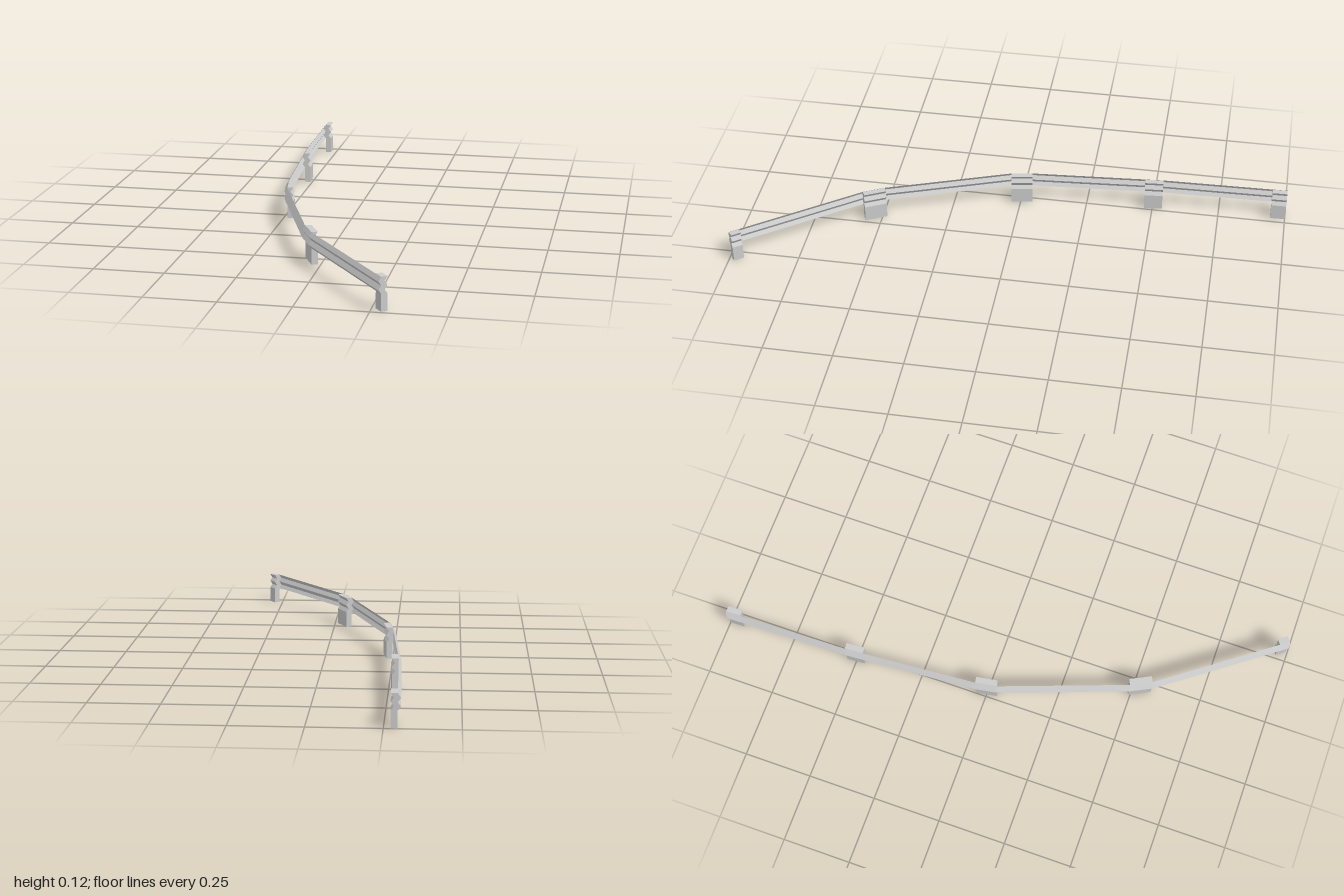
import * as THREE from 'three';

// Zigzag of the W-shaped beam: [outward offset, height]
const ZIGZAG = [[0, 0.06], [0.01, 0.073], [0, 0.088], [0.01, 0.102], [0, 0.117]];
const POST_DEPTH = 0.022;

// Plan of each post's front edge: [x0, z0, x1, z1]; the rail runs through all of them
const POSTS = [
  [-0.295, -1, -0.2935, -0.945],
  [-0.284, -0.535, -0.279, -0.467],
  [-0.248, -0.041, -0.235, 0.038],
  [-0.068, 0.493, -0.03, 0.568],
  [0.263, 0.962, 0.286, 0.993],
];

const material = new THREE.MeshStandardMaterial({
  color: 0xcccccc, flatShading: true, side: THREE.DoubleSide,
});

// Thin folded sheet swept along the plan path with mitred bends
function railGeometry() {
  const path = POSTS.flatMap(([x0, z0, x1, z1]) => [new THREE.Vector2(x0, z0), new THREE.Vector2(x1, z1)]);
  const dir = (i) => path[i + 1].clone().sub(path[i]).normalize();
  const positions = [];
  const index = [];
  const n = ZIGZAG.length;
  path.forEach((p, i) => {
    const before = dir(Math.max(i - 1, 0));
    const after = dir(Math.min(i, path.length - 2));
    const d = before.clone().add(after).normalize();
    const miter = 1 / d.dot(after);
    for (const [out, y] of ZIGZAG) {
      const o = (out + 0.001) * miter;
      positions.push(p.x - d.y * o, y, p.y + d.x * o);
    }
    if (i === path.length - 1) return;
    for (let j = 0; j < n - 1; j++) {
      const a = i * n + j;
      index.push(a, a + n, a + 1, a + n, a + n + 1, a + 1);
    }
  });
  const geometry = new THREE.BufferGeometry();
  geometry.setAttribute('position', new THREE.Float32BufferAttribute(positions, 3));
  geometry.setIndex(index);
  geometry.computeVertexNormals();
  return geometry;
}

// Straight leg whose upper part follows the zigzag on both faces
function postGeometry(length) {
  const front = ZIGZAG.map(([out, y]) => new THREE.Vector2(-out, y));
  const back = ZIGZAG.map(([out, y]) => new THREE.Vector2(POST_DEPTH - out, y));
  const shape = new THREE.Shape([
    new THREE.Vector2(0, 0), new THREE.Vector2(POST_DEPTH, 0),
    ...back, ...front.reverse(),
  ]);
  return new THREE.ExtrudeGeometry(shape, { depth: length, bevelEnabled: false });
}

export function createModel() {
  const group = new THREE.Group();
  group.name = 'guardrail';

  const rail = new THREE.Mesh(railGeometry(), material);
  rail.name = 'rail';
  group.add(rail);

  POSTS.forEach(([x0, z0, x1, z1], i) => {
    const post = new THREE.Mesh(postGeometry(Math.hypot(x1 - x0, z1 - z0)), material);
    post.name = `post${i + 1}`;
    post.position.set(x0, 0, z0);
    post.rotation.y = Math.atan2(x1 - x0, z1 - z0);
    group.add(post);
  });
  return group;
}
